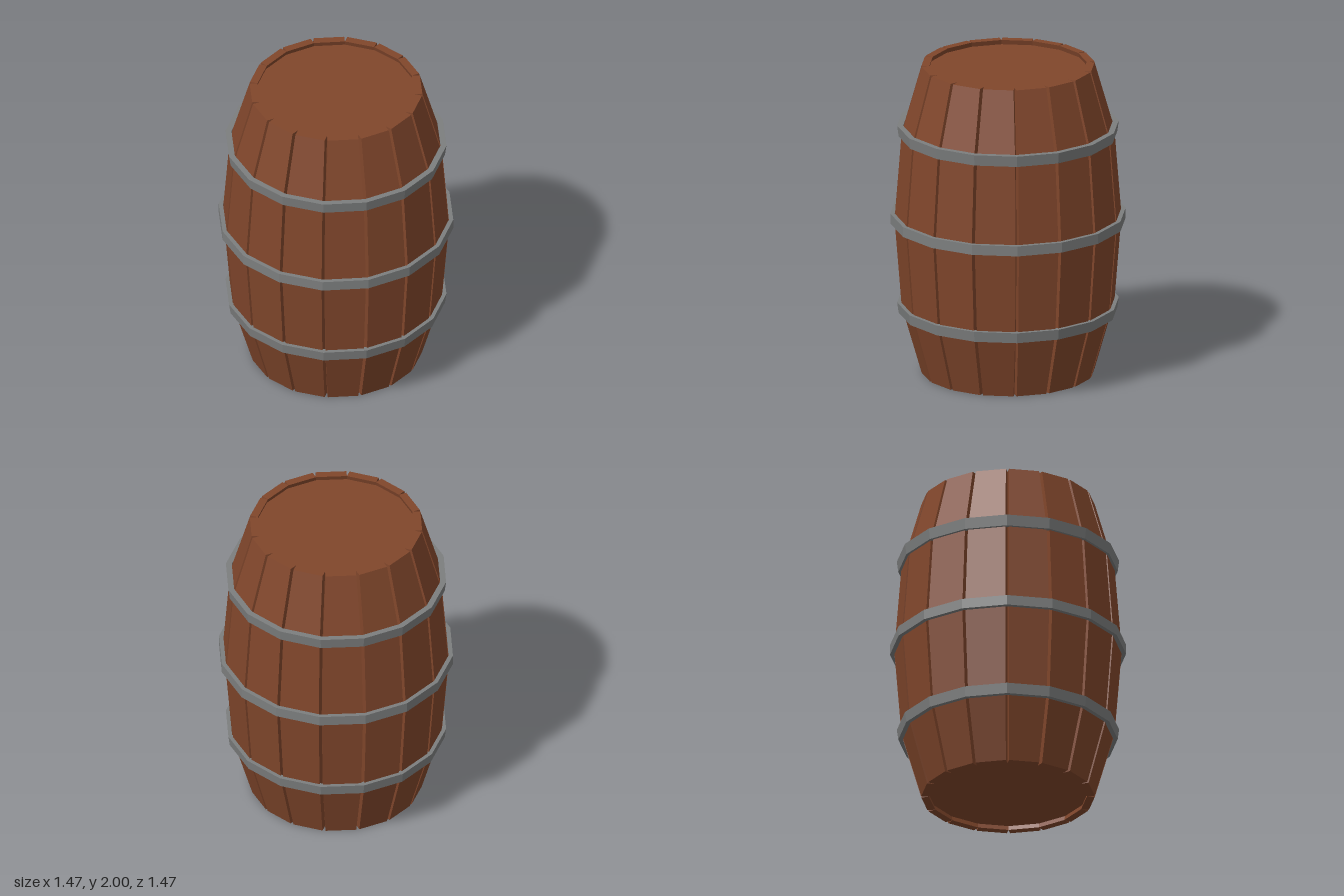
import * as THREE from 'three';

const SIDES = 16;
const HALF = Math.PI / SIDES;   // half the angle of one stave
const GAP = 0.01;               // half the width of a groove at the surface
const INNER = 0.91;             // inner radius as a share of the outer radius

// Outer radius of the staves by height: [y, radius]
const PROFILE = [[0, 0.54], [0.43, 0.663], [1, 0.708], [1.57, 0.663], [2, 0.54]];

// One stave: four-cornered cross-sections, narrower outside so grooves are V-shaped
function staveGeometry() {
  const pos = [], index = [];
  const s = Math.sin(HALF), c = Math.cos(HALF);
  for (const [y, r] of PROFILE) {
    const ox = r * s - GAP * c, oz = r * c + GAP * s;
    const ix = r * INNER * s, iz = r * INNER * c;
    pos.push(-ox, y, oz, ox, y, oz, ix, y, iz, -ix, y, iz);
  }
  const last = (PROFILE.length - 1) * 4;
  for (let ring = 0; ring < last; ring += 4) {
    for (let k = 0; k < 4; k++) {
      const a = ring + k, b = ring + (k + 1) % 4;
      index.push(a, b, b + 4, a, b + 4, a + 4);
    }
  }
  index.push(last, last + 1, last + 2, last, last + 2, last + 3); // top end
  index.push(0, 2, 1, 0, 3, 2);                                   // bottom end
  const geo = new THREE.BufferGeometry();
  geo.setAttribute('position', new THREE.Float32BufferAttribute(pos, 3));
  geo.setIndex(index);
  geo.computeVertexNormals();
  return geo;
}

// Metal band with a closed four-cornered profile
function hoopGeometry(y0, y1, outer0, outer1, inner) {
  const profile = [[inner, y0], [outer0, y0], [outer1, y1], [inner, y1], [inner, y0]];
  return new THREE.LatheGeometry(profile.map(([r, y]) => new THREE.Vector2(r, y)), SIDES);
}

export function createModel() {
  const barrel = new THREE.Group();
  barrel.name = 'barrel';
  const wood = new THREE.MeshStandardMaterial({ color: 0x80462b, flatShading: true });
  const metal = new THREE.MeshStandardMaterial({ color: 0x7c7e7e, flatShading: true });

  const add = (parent, name, geometry, material) => {
    const mesh = new THREE.Mesh(geometry, material);
    mesh.name = name;
    parent.add(mesh);
    return mesh;
  };

  // Staves, with the grooves at multiples of a sixteenth turn
  const staves = new THREE.Group();
  staves.name = 'staves';
  barrel.add(staves);
  const stave = staveGeometry();
  for (let i = 0; i < SIDES; i++) {
    add(staves, 'stave', stave, wood).rotation.y = (2 * i + 1) * HALF;
  }

  // Heads, set slightly below the rims
  add(barrel, 'topHead', new THREE.CylinderGeometry(0.499, 0.508, 0.04, SIDES), wood).position.y = 1.95;
  add(barrel, 'bottomHead', new THREE.CylinderGeometry(0.508, 0.499, 0.04, SIDES), wood).position.y = 0.05;

  // Hoops
  add(barrel, 'lowerHoop', hoopGeometry(0.393, 0.46, 0.683, 0.692, 0.655), metal);
  add(barrel, 'middleHoop', hoopGeometry(0.977, 1.042, 0.735, 0.735, 0.708), metal);
  add(barrel, 'upperHoop', hoopGeometry(1.545, 1.615, 0.683, 0.692, 0.655), metal);

  return barrel;
}
